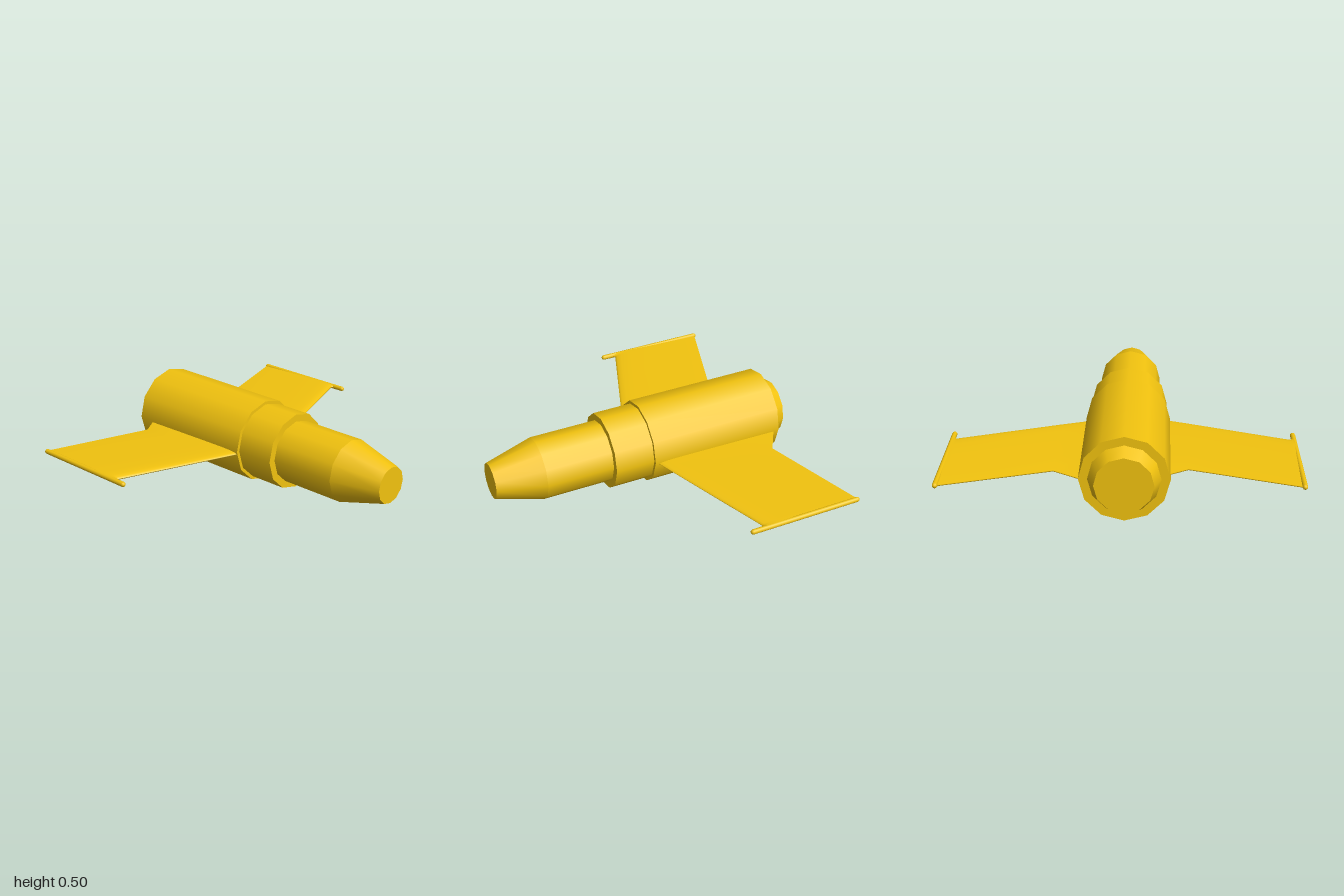
import * as THREE from 'three';

const material = new THREE.MeshStandardMaterial({ color: 0xf2c30f });
const AXIS_Y = 0.251, AXIS_Z = 0.0225, WING_Y = 0.235;

// Twelve-sided drum lying along x, from x0 (radius r0) to x1 (radius r1)
function drum(name, x0, x1, r0, r1) {
  const geo = new THREE.CylinderGeometry(r1, r0, x1 - x0, 12);
  geo.rotateZ(-Math.PI / 2);
  const mesh = new THREE.Mesh(geo, material);
  mesh.name = name;
  mesh.position.set((x0 + x1) / 2, AXIS_Y, AXIS_Z);
  return mesh;
}

// Span stations: [distance from centre, trailing x, leading x]
const stations = [
  [0.12, -0.87, 0.0], [0.23, -0.802, -0.04], [0.37, -0.715, -0.092],
  [0.955, -0.905, -0.31], [0.968, -0.91, -0.307], [0.976, -0.912, -0.29],
  [0.985, -0.915, -0.28],
];
// Half section: [fraction of chord from trailing edge, half thickness]
const foil = [
  [0, 0.003], [0.3, 0.008], [0.6, 0.012], [0.82, 0.0145],
  [0.93, 0.0135], [0.98, 0.009], [1, 0.002],
];

function wingGeometry(side) {
  const ring = [
    ...foil.map(([t, h]) => [t, h]),
    ...foil.slice().reverse().map(([t, h]) => [t, -h]),
  ];
  const n = ring.length, pos = [], index = [];
  for (const [z, trail, lead] of stations)
    for (const [t, y] of ring) pos.push(trail + t * (lead - trail), y, side * z);
  for (let s = 0; s < stations.length - 1; s++) {
    for (let i = 0; i < n; i++) {
      const a = s * n + i, b = s * n + (i + 1) % n, c = a + n, d = b + n;
      if (side > 0) index.push(a, c, b, b, c, d);
      else index.push(a, b, c, b, d, c);
    }
  }
  const geo = new THREE.BufferGeometry();
  geo.setAttribute('position', new THREE.Float32BufferAttribute(pos, 3));
  geo.setIndex(index);
  geo.computeVertexNormals();
  return geo;
}

// Swept wing with a slim rod along its tip
function wing(name, side, shift) {
  const group = new THREE.Group();
  group.name = name;
  group.position.set(shift, WING_Y, 0);
  const panel = new THREE.Mesh(wingGeometry(side), material);
  panel.name = 'wingPanel';
  const rod = new THREE.Mesh(new THREE.CapsuleGeometry(0.015, 0.67, 3, 10), material);
  rod.name = 'wingTipRod';
  rod.rotation.z = -Math.PI / 2;
  rod.position.set(-0.575, 0, side * 0.985);
  group.add(panel, rod);
  return group;
}

export function createModel() {
  const model = new THREE.Group();
  model.name = 'wingedPod';
  model.add(
    drum('tailTaper', -0.922, -0.83, 0.163, 0.204),
    drum('mainHull', -0.84, -0.01, 0.249, 0.249),
    drum('collar', -0.02, 0.23, 0.23, 0.23),
    drum('noseBarrel', 0.22, 0.64, 0.187, 0.187),
    drum('noseCone', 0.64, 0.925, 0.187, 0.109),
    wing('backWing', -1, 0),
    wing('frontWing', 1, 0.038),
  );
  return model;
}
